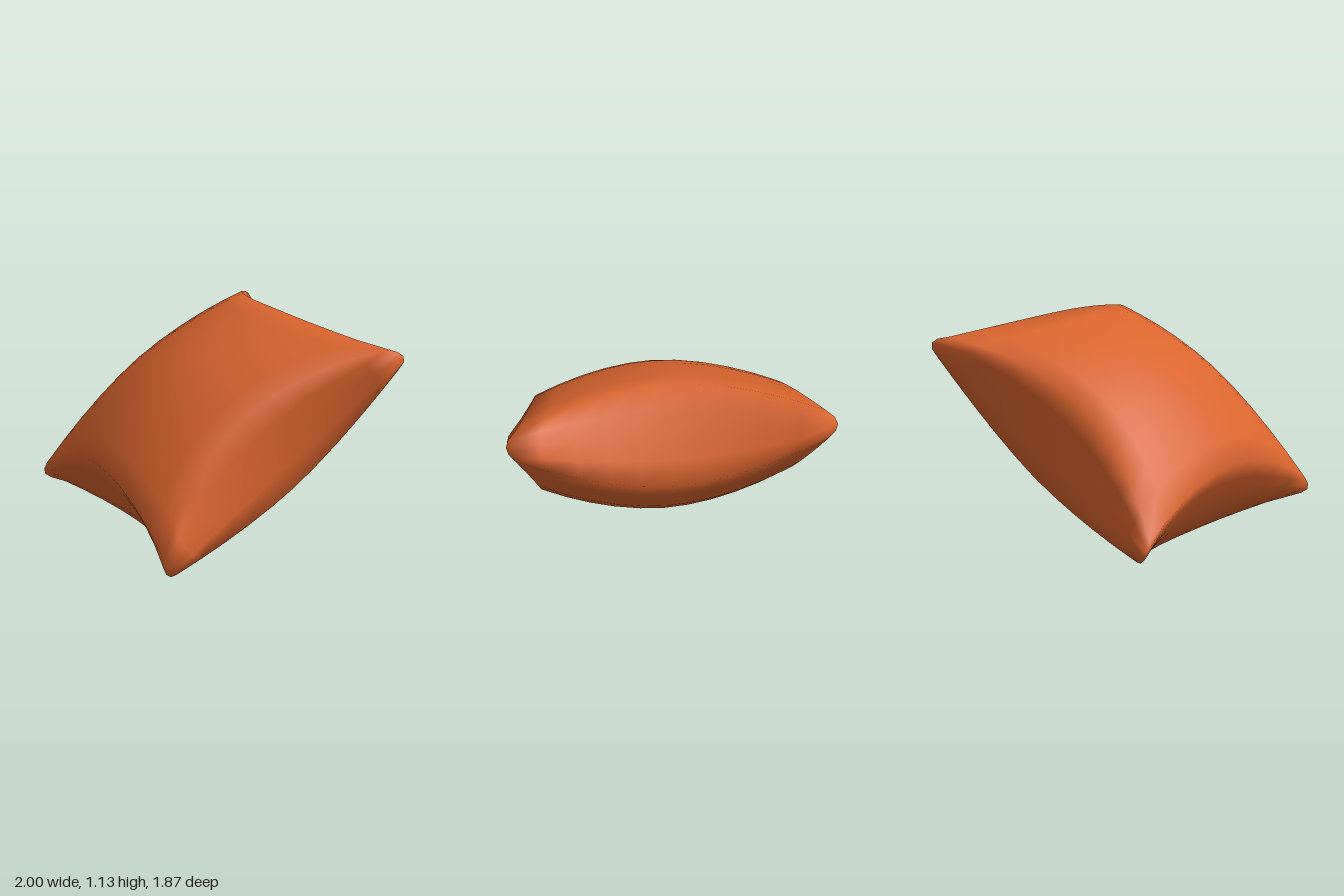
import * as THREE from 'three';
import { mergeVertices } from 'three/addons/utils/BufferGeometryUtils.js';

// Rounded fall-off: 1 in the middle, 0 at the rim
const dome = (a) => 1 - Math.pow(Math.abs(a), 1.85);

// Cushion made by moving the points of a divided box
function cushionGeometry() {
  const geo = new THREE.BoxGeometry(2, 2, 2, 10, 4, 10);
  geo.deleteAttribute('uv');
  geo.deleteAttribute('normal');
  const pos = geo.attributes.position;
  for (let i = 0; i < pos.count; i++) {
    const p = pos.getX(i), r = pos.getY(i), q = pos.getZ(i);
    // blunt corners: widest halfway up, drawn in at top and bottom
    const corner = 0.755 + 0.045 * (1 - r * r);
    const side = 0.63 + 0.01 * (1 - r * r);
    // sides pinch inwards between the corners
    const reach = (a) => side + (corner - side) * a * a;
    // puffed faces over a rim that thins towards the corners
    const gp = dome(p), gq = dome(q);
    const half = 0.07 + 0.18 * (gp + gq) - 0.035 * gp * gq;
    pos.setXYZ(i, p * reach(q), r * half, q * reach(p));
  }
  const merged = mergeVertices(geo, 1e-4);
  merged.computeVertexNormals();
  return merged;
}

export function createModel() {
  const model = new THREE.Group();
  const fabric = new THREE.MeshStandardMaterial({ color: 0xd9642e });
  fabric.name = 'orange fabric';

  const cushion = new THREE.Mesh(cushionGeometry(), fabric);
  cushion.name = 'cushion';

  // Tilted pose: width axis, face normal, length axis
  const u = new THREE.Vector3(0.908, 0, 0.419).normalize();
  const v = new THREE.Vector3(0.344, 0.571, -0.746).normalize();
  const w = new THREE.Vector3().crossVectors(v, u).normalize();
  cushion.quaternion.setFromRotationMatrix(new THREE.Matrix4().makeBasis(u, w, v));
  cushion.position.y = 0.565;

  model.add(cushion);
  return model;
}
